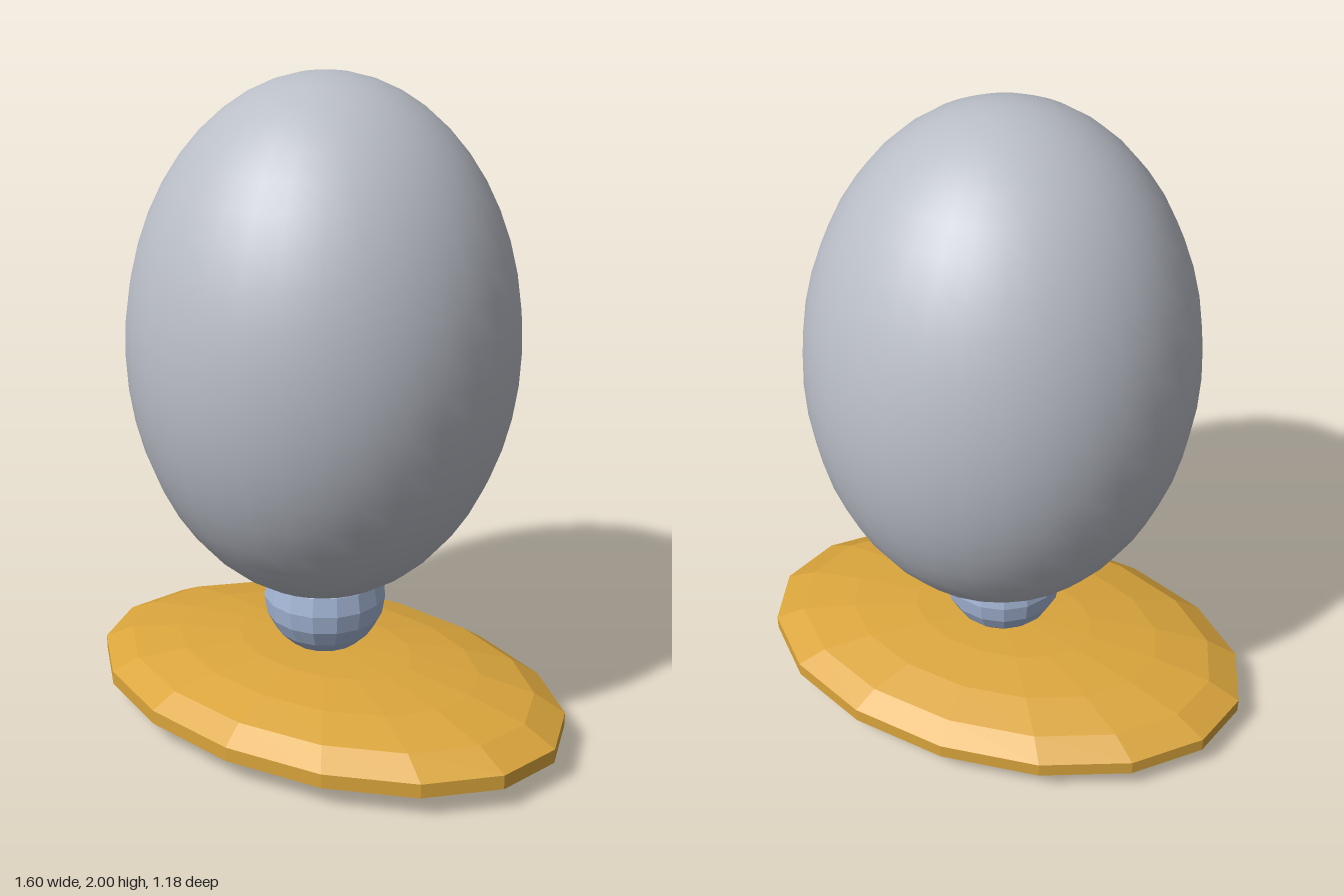
import * as THREE from 'three';

const material = (name, color, flatShading = false) => {
  const m = new THREE.MeshStandardMaterial({ color, flatShading });
  m.name = name;
  return m;
};

export function createModel() {
  const model = new THREE.Group();
  const add = (name, geometry, mat) => {
    const mesh = new THREE.Mesh(geometry, mat);
    mesh.name = name;
    model.add(mesh);
    return mesh;
  };

  // Smooth egg-shaped body, slightly deeper than wide
  const body = add('body', new THREE.SphereGeometry(1, 32, 24), material('silver grey', 0xbabec7));
  body.scale.set(0.57, 0.78, 0.59);
  body.position.y = 1.22;

  // Faceted ball joint between body and base
  const neck = add('neckBall', new THREE.SphereGeometry(0.19, 16, 10), material('pale blue', 0xa6b8d8, true));
  neck.position.y = 0.415;

  // Low-poly oval base: shallow domes above and below a narrow rim
  const profile = [
    [0, 0.005], [0.355, 0.013], [0.655, 0.04], [0.8, 0.08],
    [0.8, 0.125], [0.7, 0.175], [0.52, 0.21], [0.3, 0.232], [0, 0.24],
  ].map(([r, y]) => new THREE.Vector2(r, y));
  const base = add('base', new THREE.LatheGeometry(profile, 16), material('amber', 0xdaa53c, true));
  base.scale.z = 0.52 / 0.8;

  return model;
}
